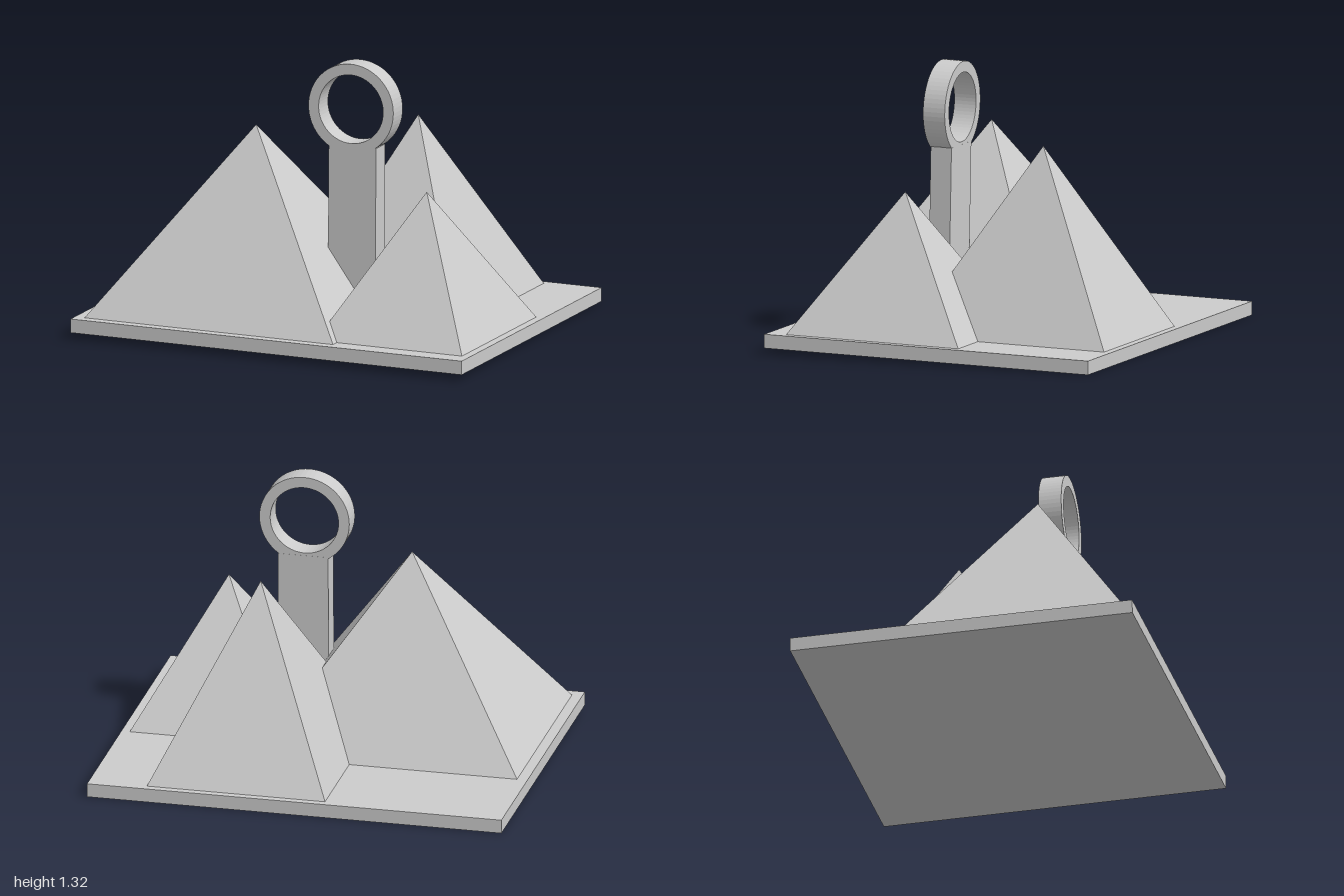
import * as THREE from 'three';

const material = new THREE.MeshStandardMaterial({ color: 0xcccccc, flatShading: true });
const baseTop = 0.066;

function addPart(group, name, geometry, x, y, z) {
  const mesh = new THREE.Mesh(geometry, material);
  mesh.name = name;
  mesh.position.set(x, y, z);
  group.add(mesh);
}

// Four-sided pyramid standing on the slab, apex above the middle of its base
function addPyramid(group, name, x0, x1, z0, z1, apexY) {
  const height = apexY - baseTop;
  const geometry = new THREE.ConeGeometry(Math.SQRT1_2, 1, 4, 1, false, Math.PI / 4);
  geometry.scale(x1 - x0, height, z1 - z0);
  addPart(group, name, geometry, (x0 + x1) / 2, baseTop + height / 2, (z0 + z1) / 2);
}

export function createModel() {
  const model = new THREE.Group();
  model.name = 'pyramidPendant';

  // The whole piece leans back very slightly
  const body = new THREE.Group();
  body.name = 'body';
  body.rotation.x = -0.0183;
  body.position.y = 0.015;
  model.add(body);

  // Slab
  addPart(body, 'baseSlab', new THREE.BoxGeometry(2, baseTop, 1.645), 0, baseTop / 2, 0);

  // Three overlapping pyramids
  addPyramid(body, 'largePyramid', -0.95, 0.32, -0.31, 0.772, 0.946);
  addPyramid(body, 'rearPyramid', -0.14, 0.72, -0.787, 0.22, 0.945);
  addPyramid(body, 'smallPyramid', 0.21, 0.96, -0.146, 0.728, 0.725);

  // Post rising between the pyramids
  const postTop = 0.903;
  addPart(body, 'post', new THREE.BoxGeometry(0.242, postTop - baseTop, 0.105),
    0.197, (postTop + baseTop) / 2, 0.223);

  // Hanging ring
  const ring = new THREE.Shape().absarc(0, 0, 0.217, 0, Math.PI * 2, false);
  ring.holes.push(new THREE.Path().absarc(0, 0, 0.165, 0, Math.PI * 2, true));
  const ringGeometry = new THREE.ExtrudeGeometry(ring, { depth: 0.11, bevelEnabled: false, curveSegments: 32 });
  addPart(body, 'ring', ringGeometry, 0.19, 1.081, 0.171);

  return model;
}
